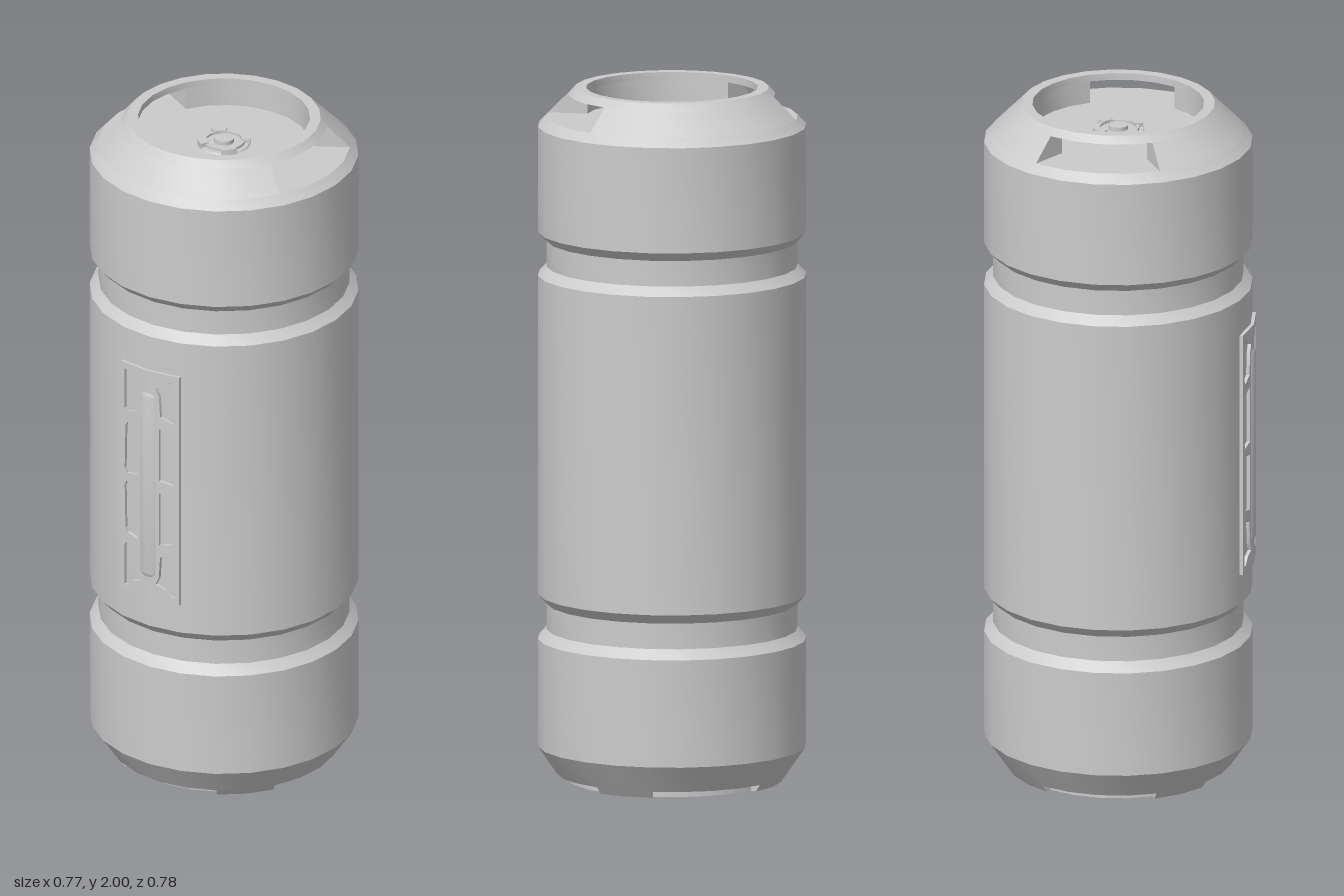
import * as THREE from 'three';
import { mergeGeometries, toCreasedNormals } from 'three/addons/utils/BufferGeometryUtils.js';

const SIDES = 24;
const STEP = (Math.PI * 2) / SIDES;
const material = new THREE.MeshStandardMaterial({ color: 0xcccccc, side: THREE.DoubleSide });
const points = (list) => list.map(([x, y]) => new THREE.Vector2(x, y));

function part(name, geometry) {
  const mesh = new THREE.Mesh(toCreasedNormals(geometry, 0.4), material);
  mesh.name = name;
  return mesh;
}

// Full turn of a profile, given bottom to top
const turned = (name, profile) => part(name, new THREE.LatheGeometry(points(profile), SIDES));

// Part turn of a closed profile, capped at both ends
function sector(name, profile, middle, steps, segments = steps) {
  const length = steps * STEP;
  const start = middle - length / 2;
  const closed = [...profile, profile[0]];
  const pieces = [new THREE.LatheGeometry(points(closed), segments, start, length)];
  for (const angle of [start, start + length]) {
    pieces.push(new THREE.ShapeGeometry(new THREE.Shape(points(profile))).rotateY(angle - Math.PI / 2));
  }
  return part(name, mergeGeometries(pieces.map((g) => g.toNonIndexed())));
}

// One half of the grip plate with its pockets; side is +1 or -1
function gripHalf(side) {
  const mid = 0.9925;
  const outline = (list) => points(list.map(([x, y]) => [x * side, y]));
  const shape = new THREE.Shape(outline([[0, 0.63], [0.1, 0.63], [0.1, 1.355], [0, 1.355]]));
  const pockets = [
    [[0.04, 1.215], [0.078, 1.2], [0.085, 1.21], [0.085, 1.335], [0.075, 1.335], [0.055, 1.315], [0.025, 1.305], [0.036, 1.28]],
    [[0.036, 1.012], [0.078, 1.005], [0.085, 1.02], [0.082, 1.155], [0.075, 1.168], [0.036, 1.178]],
  ];
  for (const pocket of pockets) {
    shape.holes.push(new THREE.Path(outline(pocket)));
    shape.holes.push(new THREE.Path(outline(pocket.map(([x, y]) => [x, 2 * mid - y]))));
  }
  const geometry = new THREE.ExtrudeGeometry(shape, { depth: 0.014, bevelEnabled: false });
  // Lean the half back so it lies on its facet of the body
  const p = geometry.attributes.position;
  for (let i = 0; i < p.count; i++) p.setZ(i, p.getZ(i) + 0.379 - 0.132 * Math.abs(p.getX(i)));
  return part(side > 0 ? 'gripPlateLeft' : 'gripPlateRight', geometry);
}

export function createModel() {
  const model = new THREE.Group();
  model.name = 'canister';

  // Main shell with two grooves, underside recess and top recess floor
  model.add(turned('body', [
    [0, 0.03], [0.25, 0.03], [0.275, 0], [0.295, 0], [0.295, 0.02], [0.328, 0.02],
    [0.383, 0.1], [0.383, 0.41], [0.358, 0.438], [0.358, 0.512], [0.383, 0.54],
    [0.383, 1.46], [0.358, 1.486], [0.358, 1.56], [0.383, 1.586],
    [0.383, 1.89], [0.359, 1.915], [0, 1.915],
  ]));

  // Top rim, carried by a front and a back wall with a window on either side
  model.add(turned('rim', [[0.245, 1.98], [0.295, 1.98], [0.276, 2], [0.245, 2], [0.245, 1.98]]));
  const wall = [[0.245, 1.915], [0.359, 1.915], [0.295, 1.98], [0.245, 1.98]];
  model.add(sector('rimWallFront', wall, 0, 8), sector('rimWallBack', wall, Math.PI, 8));

  // Feet and valve tabs on the diagonals
  for (let i = 0; i < 4; i++) {
    const angle = Math.PI / 4 + (i * Math.PI) / 2;
    model.add(sector('foot', [[0.295, 0], [0.314, 0], [0.328, 0.02], [0.295, 0.02]], angle, 2));
    model.add(sector('valveTab', [[0.05, 1.915], [0.075, 1.915], [0.075, 1.932], [0.05, 1.932]], angle, 2.4, 4));
  }

  // Valve in the top recess
  model.add(turned('valve', [
    [0.075, 1.915], [0.072, 1.92], [0.06, 1.92], [0.06, 1.928], [0.052, 1.928],
    [0.052, 1.922], [0.028, 1.922], [0.028, 1.934], [0, 1.934],
  ]));

  // Front grip with a rounded centre bar
  const grip = new THREE.Group();
  grip.name = 'grip';
  grip.add(gripHalf(1), gripHalf(-1));
  const bar = part('gripBar', new THREE.CapsuleGeometry(0.033, 0.54, 6, 16).scale(1, 1, 0.6));
  bar.position.set(0, 0.9925, 0.378);
  grip.add(bar);
  model.add(grip);

  // Centre the depth, as the grip stands out at the front only
  for (const child of model.children) child.position.z -= 0.007;
  return model;
}
